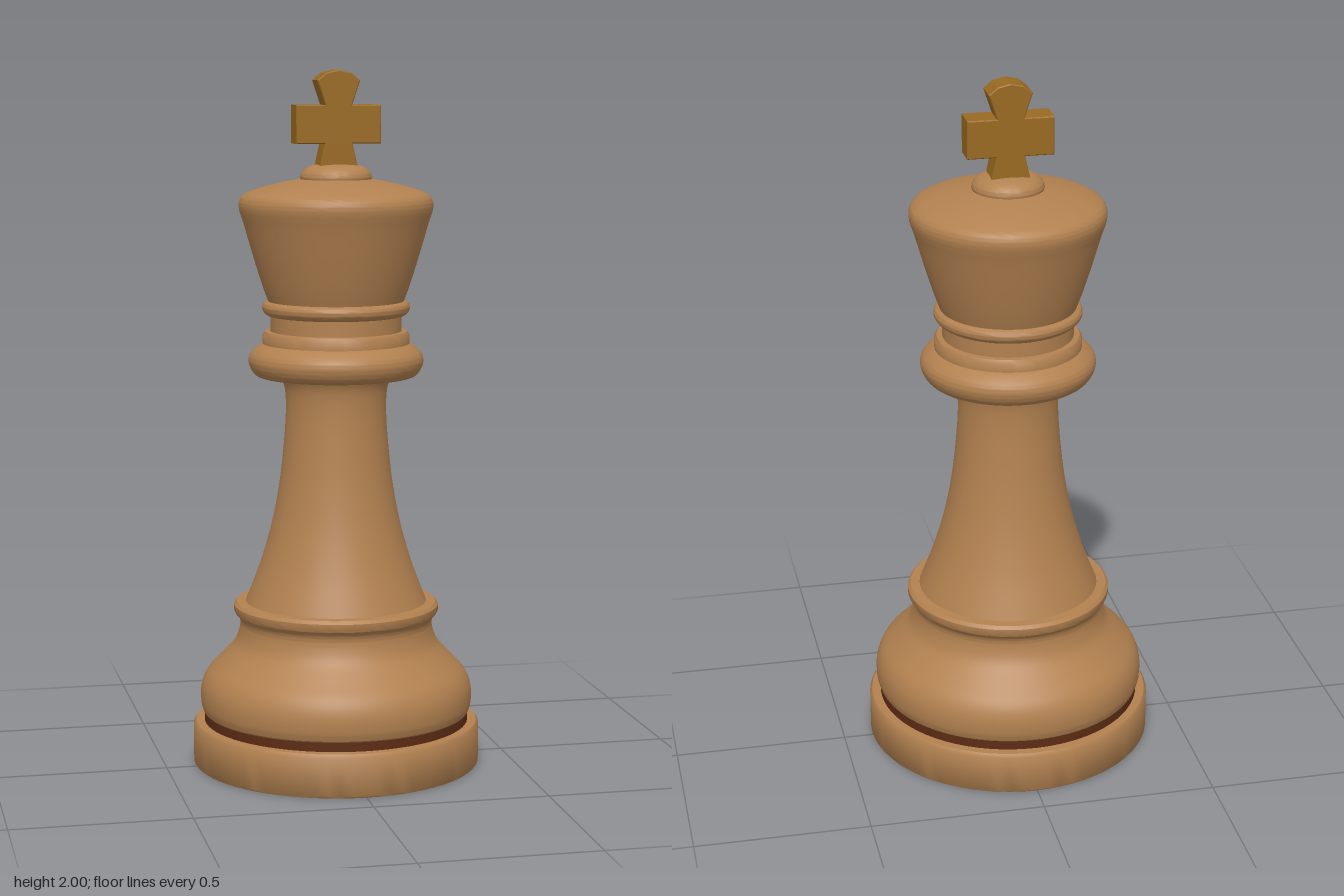
import * as THREE from 'three';
import { toCreasedNormals } from 'three/addons/utils/BufferGeometryUtils.js';

const material = (name, color) => {
  const m = new THREE.MeshStandardMaterial({ color });
  m.name = name;
  return m;
};

export function createModel() {
  const wood = material('walnut wood', 0xb28150);
  const gold = material('dark gold', 0x996a22);
  const groove = material('dark groove', 0x5c2c14);
  const group = new THREE.Group();
  group.name = 'chessKing';

  // Lathe-turned part from [radius, height] points, listed bottom to top
  function turned(name, mat, points, smooth = true) {
    let profile = points.map(([r, y]) => new THREE.Vector2(r, y));
    if (smooth) profile = new THREE.SplineCurve(profile).getPoints(points.length * 4);
    profile.forEach((p) => { p.x = Math.max(p.x, 0); });
    const geometry = toCreasedNormals(new THREE.LatheGeometry(profile, 72), 0.7);
    const mesh = new THREE.Mesh(geometry, mat);
    mesh.name = name;
    group.add(mesh);
  }

  // Foot disc and the dark groove above it
  turned('foot', wood, [[0, 0], [0.41, 0], [0.415, 0.006], [0.415, 0.115], [0.408, 0.125], [0, 0.125]], false);
  turned('footGroove', groove, [[0.383, 0.12], [0.383, 0.155]], false);

  // Bulging base with a lipped rim
  turned('baseUnderside', wood, [[0, 0.142], [0.375, 0.142], [0.386, 0.155]], false);
  turned('base', wood, [[0.386, 0.155], [0.393, 0.18], [0.392, 0.225], [0.375, 0.267], [0.335, 0.31],
    [0.295, 0.355], [0.279, 0.4], [0.28, 0.425], [0.292, 0.442]]);
  turned('baseRim', wood, [[0.292, 0.442], [0.296, 0.45], [0.296, 0.466], [0.288, 0.475], [0.2, 0.478]], false);

  // Tapering stem
  turned('stem', wood, [[0.262, 0.474], [0.218, 0.59], [0.184, 0.71], [0.162, 0.83], [0.149, 0.95],
    [0.144, 1.04], [0.148, 1.1], [0.163, 1.135]]);

  // Collar, neck and upper ring
  turned('collar', wood, [[0.14, 1.127], [0.215, 1.13], [0.238, 1.143], [0.25, 1.17], [0.246, 1.195],
    [0.226, 1.215], [0.21, 1.225]]);
  turned('collarStep', wood, [[0.21, 1.225], [0.21, 1.25], [0.203, 1.26], [0.15, 1.262]], false);
  turned('neck', wood, [[0.187, 1.25], [0.187, 1.32]], false);
  turned('neckRing', wood, [[0.18, 1.303], [0.2, 1.308], [0.211, 1.325], [0.205, 1.342], [0.18, 1.35]]);

  // Flared crown with a rounded shoulder and shallow dome
  turned('crown', wood, [[0.19, 1.335], [0.21, 1.39], [0.235, 1.47], [0.261, 1.56], [0.275, 1.605],
    [0.275, 1.632], [0.258, 1.652], [0.2, 1.672], [0.1, 1.693], [0, 1.7]]);
  turned('crownButton', wood, [[0.098, 1.685], [0.102, 1.7], [0.092, 1.718], [0.065, 1.732], [0, 1.738]]);

  // Cross: half outline mirrored to the other side
  const half = [[0.055, 1.72], [0.038, 1.795], [0.12, 1.795], [0.12, 1.9], [0.036, 1.9], [0.059, 1.97], [0.035, 1.99]];
  const outline = [...half, [0, 1.998], ...half.map(([x, y]) => [-x, y]).reverse()];
  const bevel = 0.003;
  const crossGeometry = new THREE.ExtrudeGeometry(
    new THREE.Shape(outline.map(([x, y]) => new THREE.Vector2(x, y))),
    { depth: 0.082 - 2 * bevel, bevelThickness: bevel, bevelSize: bevel, bevelOffset: -0.001, bevelSegments: 1 },
  );
  crossGeometry.translate(0, 0, -0.041 + bevel);
  const cross = new THREE.Mesh(crossGeometry, gold);
  cross.name = 'cross';
  group.add(cross);

  return group;
}
